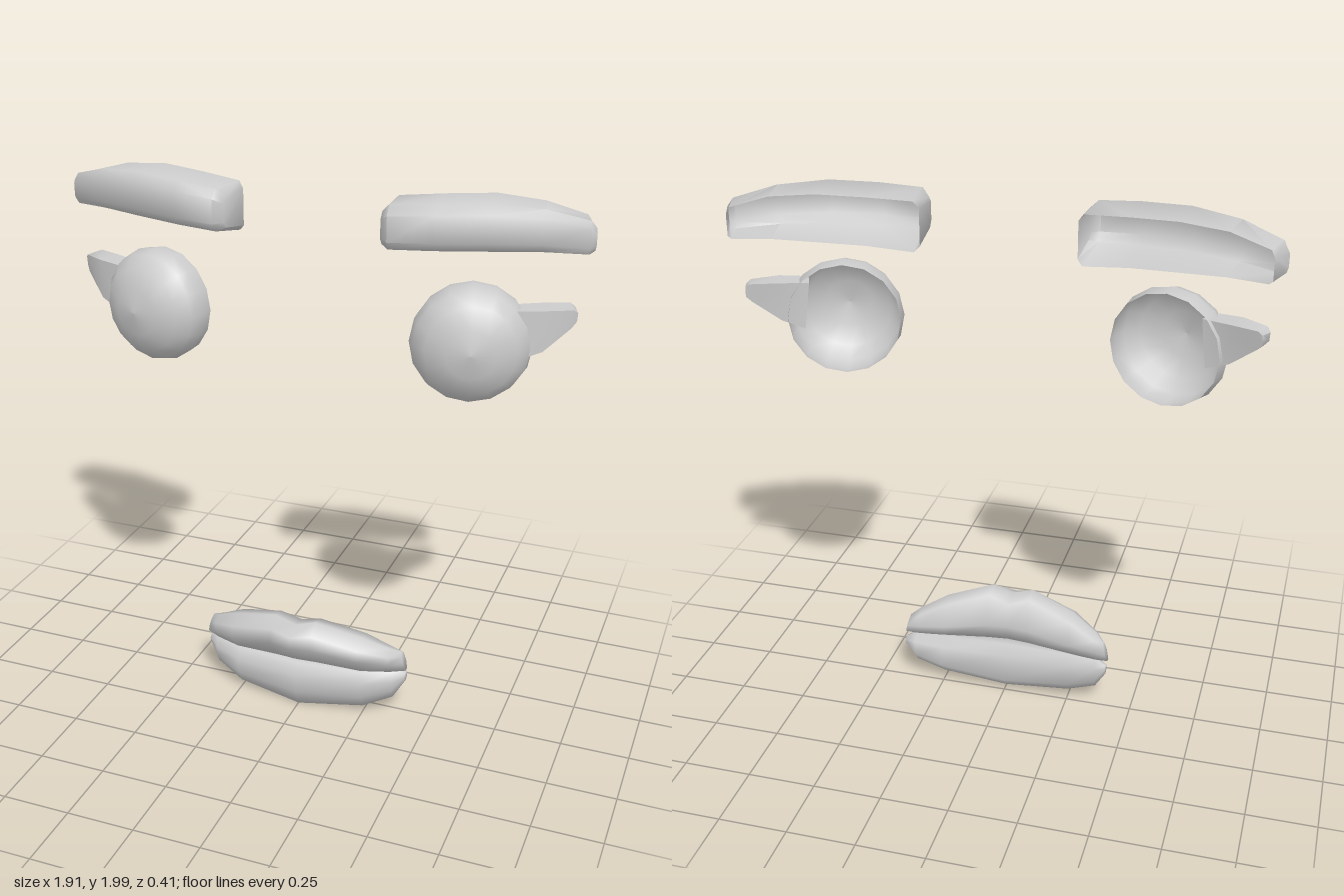
import * as THREE from 'three';
import { toCreasedNormals } from 'three/addons/utils/BufferGeometryUtils.js';

const material = new THREE.MeshStandardMaterial({ color: 0xcccccc, side: THREE.DoubleSide });

// Skin a list of rings of [x, y, z]; side = -1 mirrors across x.
function loft(rings, { side = 1, closed = true, startCap = true, endCap = true } = {}) {
  const n = rings[0].length, pos = [], index = [];
  const tri = (a, b, c) => (side > 0 ? index.push(a, b, c) : index.push(a, c, b));
  rings.flat().forEach(([x, y, z]) => pos.push(x * side, y, z));
  for (let i = 0; i < rings.length - 1; i++) {
    for (let j = 0; j < (closed ? n : n - 1); j++) {
      const a = i * n + j, b = i * n + (j + 1) % n;
      tri(a, b, a + n);
      tri(b, b + n, a + n);
    }
  }
  const last = (rings.length - 1) * n;
  for (let j = 1; j < n - 1; j++) {
    if (startCap) tri(0, j + 1, j);
    if (endCap) tri(last, last + j, last + j + 1);
  }
  const geometry = new THREE.BufferGeometry();
  geometry.setAttribute('position', new THREE.Float32BufferAttribute(pos, 3));
  geometry.setIndex(index);
  geometry.computeVertexNormals();
  return geometry;
}

function add(parent, name, geometry) {
  const mesh = new THREE.Mesh(geometry, material);
  mesh.name = name;
  parent.add(mesh);
  return mesh;
}

// Brow: bevelled shell, open at the back, swept around the forehead.
function browGeometry(side) {
  // back x, back z, front x, front z, top, bottom of front, bottom of back
  const stations = [
    [0.272, -0.085, 0.28, 0.07, 1.955, 1.845, 1.82],
    [0.29, -0.095, 0.31, 0.097, 1.98, 1.835, 1.80],
    [0.45, -0.13, 0.46, 0.08, 1.992, 1.84, 1.82],
    [0.61, -0.165, 0.63, 0.04, 2.0, 1.845, 1.83],
    [0.77, -0.18, 0.8, -0.025, 1.985, 1.845, 1.833],
    [0.905, -0.205, 0.94, -0.09, 1.945, 1.835, 1.83],
    [0.917, -0.208, 0.955, -0.11, 1.92, 1.845, 1.84],
  ];
  const rings = stations.map(([bx, bz, fx, fz, top, low, lowBack]) => {
    const at = (t, y) => [bx + (fx - bx) * t, y, bz + (fz - bz) * t];
    const b = 0.2 * (top - low);
    return [at(0, top - 0.005), at(0.85, top), at(1, top - b), at(1, low + b), at(0.88, low), at(0, lowBack)];
  });
  return toCreasedNormals(loft(rings, { side, closed: false }), 0.9);
}

// Eye: shallow open dome turned outward.
function eyeGeometry(side) {
  const profile = [[0.2, 0], [0.208, 0.055], [0.195, 0.1], [0.155, 0.145], [0.085, 0.178], [0, 0.19]]
    .map(([r, h]) => new THREE.Vector2(r, h));
  return new THREE.LatheGeometry(profile, 16)
    .rotateX(Math.PI / 2)
    .rotateY(side * 0.26)
    .translate(side * 0.568, 1.52, -0.06);
}

// Lash: tapered wedge leaving the outer corner of the eye, open inside.
function lashGeometry(side) {
  const rings = [
    [[0.69, 1.648, -0.07], [0.72, 1.648, 0], [0.74, 1.48, 0], [0.71, 1.48, -0.08]],
    [[0.79, 1.652, -0.115], [0.82, 1.652, -0.03], [0.82, 1.51, -0.03], [0.79, 1.51, -0.1]],
    [[0.88, 1.652, -0.15], [0.905, 1.648, -0.085], [0.9, 1.585, -0.085], [0.88, 1.585, -0.14]],
    [[0.895, 1.64, -0.153], [0.916, 1.635, -0.1], [0.914, 1.605, -0.1], [0.897, 1.605, -0.15]],
  ];
  return toCreasedNormals(loft(rings, { side, startCap: false }), 0.9);
}

// Lip: half the sections as [x, [z, y]...], mirrored; skew leans the end caps.
function lipGeometry(half, skew = 0) {
  const ring = (s, [x, ...pts], i) => pts.map(([z, y]) => {
    const lean = i === half.length - 1 ? skew * (y - 0.205) : 0;
    return [s * (x - lean), y, z];
  });
  const right = half.map((h, i) => ring(-1, h, i)).slice(1).reverse();
  return loft([...right, ...half.map((h, i) => ring(1, h, i))]);
}

const upperLip = [
  [0, [0.06, 0.36], [0.13, 0.375], [0.19, 0.35], [0.205, 0.31], [0.13, 0.225], [0.06, 0.205], [0.04, 0.27]],
  [0.08, [0.07, 0.385], [0.13, 0.4], [0.18, 0.365], [0.195, 0.315], [0.12, 0.222], [0.055, 0.203], [0.032, 0.27]],
  [0.25, [0.03, 0.335], [0.09, 0.35], [0.145, 0.32], [0.157, 0.28], [0.1, 0.21], [0.03, 0.2], [0.005, 0.25]],
  [0.35, [0.01, 0.285], [0.05, 0.3], [0.085, 0.28], [0.092, 0.25], [0.06, 0.205], [0.01, 0.203], [0, 0.24]],
  [0.405, [0.005, 0.27], [0.02, 0.28], [0.035, 0.265], [0.04, 0.24], [0.03, 0.205], [0.01, 0.205], [0, 0.235]],
];

const lowerLip = [
  [0, [-0.015, 0.17], [0.03, 0.2], [0.1, 0.188], [0.13, 0.145], [0.13, 0.075], [0.1, 0.008], [0.03, 0.012], [-0.015, 0.06]],
  [0.25, [-0.025, 0.175], [0.02, 0.2], [0.08, 0.19], [0.105, 0.15], [0.1, 0.09], [0.07, 0.037], [0.02, 0.042], [-0.022, 0.09]],
  [0.36, [-0.022, 0.18], [0.01, 0.205], [0.04, 0.198], [0.06, 0.16], [0.055, 0.12], [0.04, 0.085], [0.01, 0.085], [-0.018, 0.12]],
  [0.4, [-0.01, 0.178], [0.005, 0.185], [0.02, 0.182], [0.028, 0.17], [0.025, 0.16], [0.015, 0.15], [0.005, 0.15], [-0.008, 0.16]],
];

export function createModel() {
  const model = new THREE.Group();
  model.name = 'face';

  for (const [side, label] of [[1, 'left'], [-1, 'right']]) {
    add(model, `${label}Brow`, browGeometry(side));
    add(model, `${label}Eye`, eyeGeometry(side));
    add(model, `${label}Lash`, lashGeometry(side));
  }

  add(model, 'upperLip', lipGeometry(upperLip, 0.27));
  add(model, 'lowerLip', lipGeometry(lowerLip));
  return model;
}
